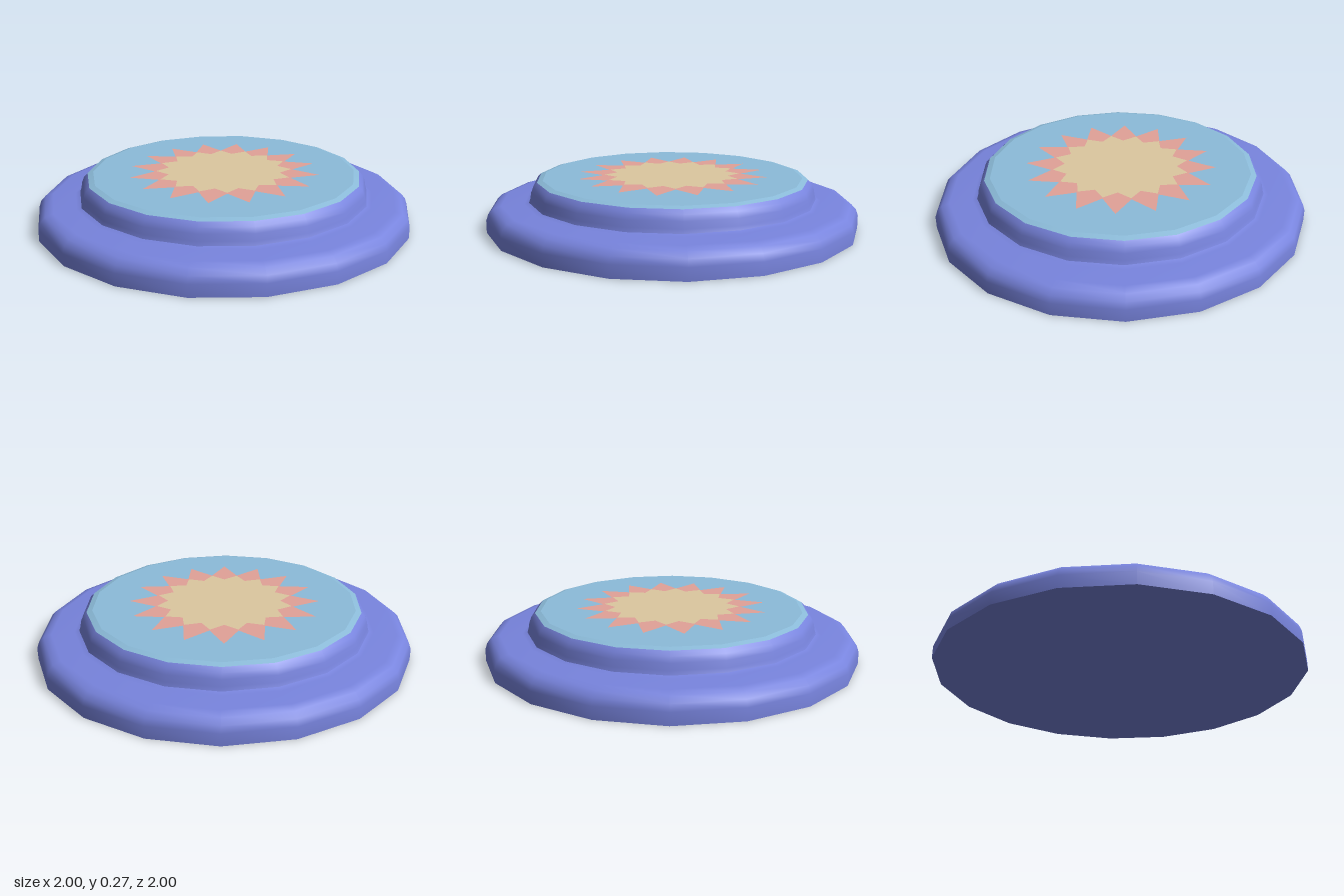
import * as THREE from 'three';

const SIDES = 18;
const STRETCH_X = 1.015; // the 18-gon fills the same width as depth

export function createModel() {
  const group = new THREE.Group();
  const paint = (name, color) => {
    const m = new THREE.MeshStandardMaterial({ color });
    m.name = name;
    return m;
  };
  const violet = paint('violet blue', 0x7884de);
  const sky = paint('sky blue', 0x8cbcda);
  const coral = paint('coral', 0xe2a298);
  const sand = paint('sand', 0xdcc8a0);

  const add = (name, geometry, material) => {
    const mesh = new THREE.Mesh(geometry, material);
    mesh.name = name;
    group.add(mesh);
    return mesh;
  };
  const turned = (points) =>
    new THREE.LatheGeometry(points.map(([r, y]) => new THREE.Vector2(r, y)), SIDES)
      .scale(STRETCH_X, 1, 1);

  // Wide rounded base
  add('base', turned([
    [1, 0], [1, 0.065], [0.988, 0.1], [0.962, 0.127], [0.92, 0.14], [0.8, 0.142], [0.775, 0.15],
  ]), violet);

  // Flat underside
  add('underside', new THREE.CircleGeometry(1, SIDES, Math.PI / 2)
    .rotateX(Math.PI / 2).scale(STRETCH_X, 1, 1), violet);

  // Raised upper tier with a rounded rim
  add('upperTier', turned([
    [0.775, 0.15], [0.768, 0.17], [0.762, 0.205], [0.75, 0.235], [0.73, 0.255],
  ]), violet);

  // Coloured top, wrapping slightly over the rim
  add('topRim', turned([[0.73, 0.255], [0.7, 0.264]]), sky);
  add('topDisc', turned([[0.7, 0.264], [0, 0.264]]), sky);

  // Sunburst: 16 points, turned a few degrees
  const star = (outer, inner, offset, y) => {
    const shape = new THREE.Shape();
    for (let i = 0; i < 32; i++) {
      const a = offset + (i * Math.PI) / 16;
      const r = i % 2 ? inner : outer;
      shape[i ? 'lineTo' : 'moveTo'](r * Math.cos(a), r * Math.sin(a));
    }
    shape.closePath();
    return new THREE.ShapeGeometry(shape).rotateX(-Math.PI / 2).translate(0, y, 0);
  };
  const turn = THREE.MathUtils.degToRad(3);
  add('sunRays', star(0.515, 0.375, turn, 0.266), coral);
  add('sunCentre', star(0.368, 0.305, turn + Math.PI / 16, 0.268), sand);

  return group;
}
